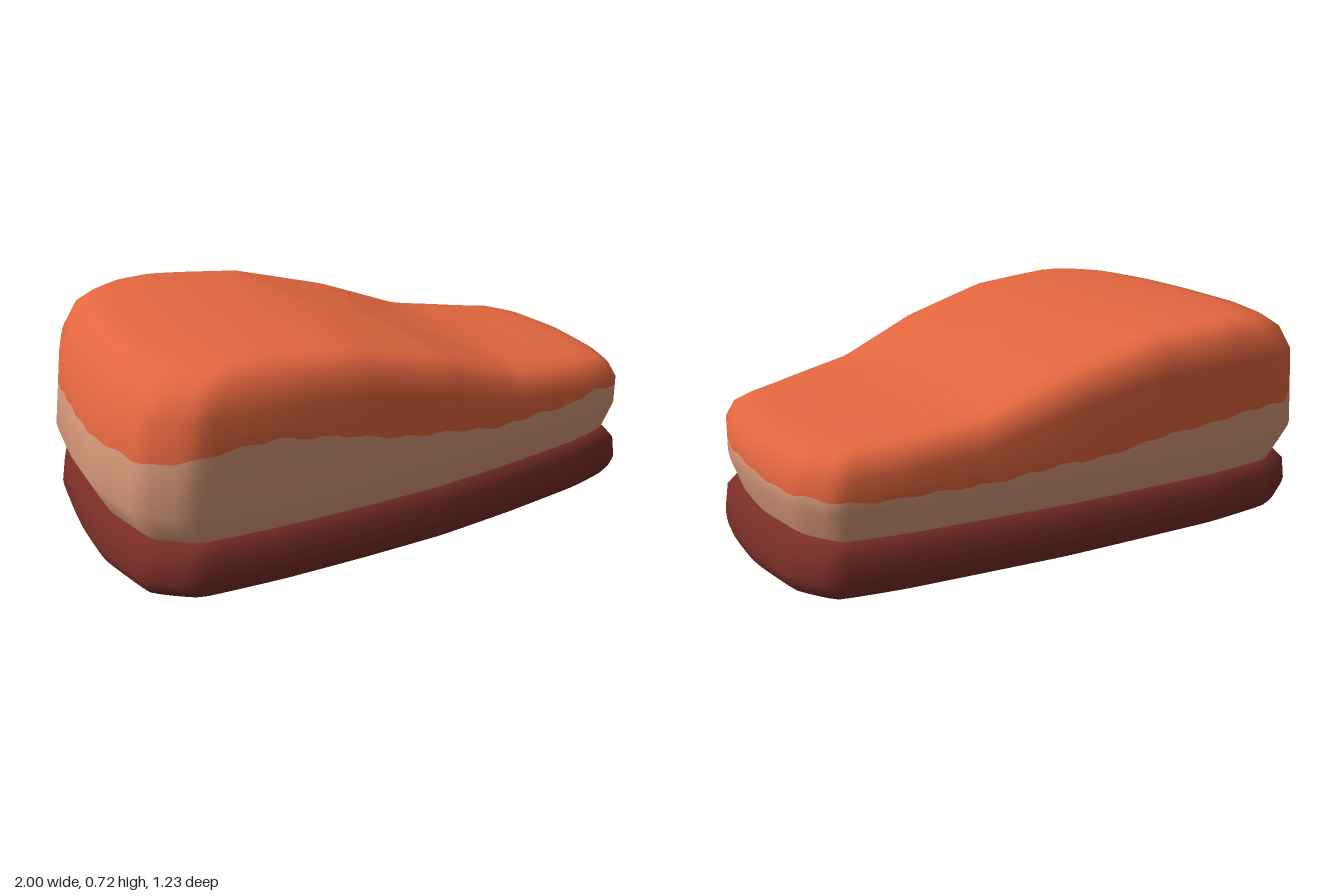
import * as THREE from 'three';

const N = 144; // points around the outline

// plan outline (x, z), walked from the tall end along the back
const plan = [[-1, 0], [-0.985, -0.3], [-0.915, -0.53], [-0.78, -0.615], [-0.5, -0.615], [0.1, -0.545],
  [0.66, -0.445], [0.88, -0.385], [0.965, -0.25], [1, 0], [0.985, 0.22], [0.93, 0.4], [0.73, 0.47],
  [0.4, 0.535], [0.1, 0.58], [-0.2, 0.6], [-0.5, 0.61], [-0.78, 0.6], [-0.915, 0.5], [-0.985, 0.26]];
const outline = new THREE.CatmullRomCurve3(
  plan.map(([x, z]) => new THREE.Vector3(x, 0, z)), true, 'catmullrom', 0.15).getSpacedPoints(N).slice(0, N);

// piecewise-linear lookup in [x, value] pairs
function lookup(table, x) {
  if (x <= table[0][0]) return table[0][1];
  for (let i = 1; i < table.length; i++) {
    const [x0, v0] = table[i - 1], [x1, v1] = table[i];
    if (x <= x1) return v0 + (v1 - v0) * (x - x0) / (x1 - x0);
  }
  return table[table.length - 1][1];
}

const crown = x => lookup([[-1, 0.64], [-0.86, 0.705], [-0.55, 0.725], [-0.23, 0.705], [0.1, 0.625],
  [0.4, 0.52], [0.7, 0.485], [0.9, 0.475]], x);
const frontEdge = [[-0.97, 0.44], [-0.85, 0.46], [-0.53, 0.5], [-0.3, 0.455], [0, 0.4], [0.3, 0.36],
  [0.6, 0.355], [0.75, 0.38], [0.92, 0.345]];
const backEdge = [[-0.97, 0.44], [-0.85, 0.41], [-0.5, 0.4], [0, 0.345], [0.5, 0.315], [0.92, 0.325]];

// slightly ragged colour boundary, blended from back to front
function boundary(p, i) {
  const t = THREE.MathUtils.smoothstep(p.z, -0.4, 0.4);
  const wobble = 0.005 * Math.sin(i * 1.7) + 0.004 * Math.sin(i * 0.61 + 1);
  return THREE.MathUtils.lerp(lookup(backEdge, p.x), lookup(frontEdge, p.x), t) + wobble;
}

// scaled copy of the outline; height is a number or a function of x
function ring(sx, sz, height, dx = 0) {
  return outline.map(p => {
    const x = p.x * sx + dx;
    return new THREE.Vector3(x, typeof height === 'function' ? height(x) : height, p.z * sz);
  });
}

// skin between rings, listed from bottom to top; groups are [first band, last band, material]
function loft(rings, groups = []) {
  const index = [];
  for (let k = 0; k < rings.length - 1; k++) {
    for (let i = 0; i < N; i++) {
      const j = (i + 1) % N, a = k * N + i, b = k * N + j;
      index.push(a, a + N, b, b, a + N, b + N);
    }
  }
  const geometry = new THREE.BufferGeometry().setFromPoints(rings.flat());
  geometry.setIndex(index);
  geometry.computeVertexNormals();
  for (const [from, to, m] of groups) geometry.addGroup(from * N * 6, (to - from) * N * 6, m);
  return geometry;
}

export function createModel() {
  const model = new THREE.Group();
  const orange = new THREE.MeshStandardMaterial({ color: 0xe4673f });
  orange.name = 'orange';
  const tan = new THREE.MeshStandardMaterial({ color: 0xdb9b7b });
  tan.name = 'tan';
  const brown = new THREE.MeshStandardMaterial({ color: 0x7a2e26 });
  brown.name = 'dark brown';

  const add = (name, geometry, material) => {
    const mesh = new THREE.Mesh(geometry, material);
    mesh.name = name;
    model.add(mesh);
  };

  // base slab with rounded edge and flat underside
  add('baseSide', loft([
    ring(0.97, 0.935, 0), ring(0.985, 0.96, 0.02), ring(0.998, 0.985, 0.06),
    ring(0.985, 0.98, 0.14), ring(0.945, 0.93, 0.185), ring(0.9, 0.88, 0.186)]), brown);
  add('baseUnderside', loft([ring(0.001, 0.001, 0), ring(0.97, 0.935, 0)]), brown);

  // body: pale lower wall, ragged boundary, then rounded shoulder and sloping crown
  const waist = ring(0.985, 0.99, 0.285, -0.015);
  const shoulder = ring(0.965, 1, x => crown(x) * 0.82);
  const edge = waist.map((p, i) => {
    const q = shoulder[i];
    const y = boundary(p, i);
    const v = p.clone().lerp(q, THREE.MathUtils.clamp((y - p.y) / (q.y - p.y), 0.05, 0.95));
    return v;
  });
  const body = [
    ring(0.943, 0.93, 0.18, -0.007), waist, edge, shoulder,
    ring(0.925, 0.96, x => crown(x) * 0.93, 0.01),
    ring(0.88, 0.89, x => crown(x) - 0.012, 0.02)];
  for (const s of [0.8, 0.65, 0.5, 0.35, 0.2, 0.001]) body.push(ring(s, s, crown, 0.02));
  add('body', loft(body, [[0, 2, 0], [2, body.length - 1, 1]]), [tan, orange]);

  return model;
}
